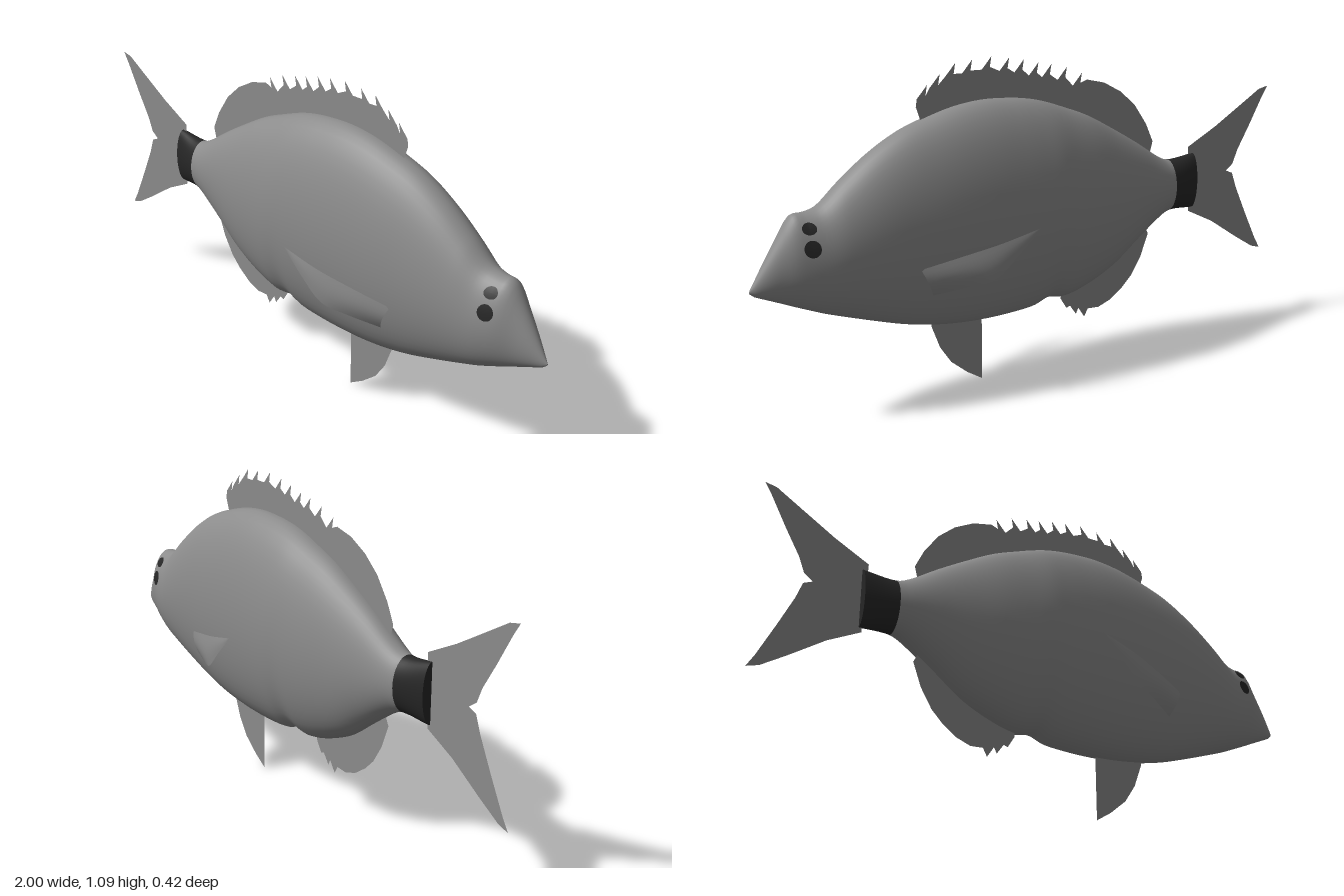
import * as THREE from 'three';

const mat = (name, color, side = THREE.FrontSide) => {
  const m = new THREE.MeshStandardMaterial({ color, side });
  m.name = name;
  return m;
};

// Body stations along the length: x, top y, bottom y, half width
const STATIONS = [
  [-0.66, 0.67, 0.47, 0.034], [-0.55, 0.66, 0.475, 0.057], [-0.5, 0.68, 0.455, 0.068],
  [-0.4, 0.745, 0.385, 0.088], [-0.3, 0.805, 0.312, 0.108], [-0.2, 0.86, 0.265, 0.126],
  [-0.1, 0.9, 0.238, 0.139], [-0.03, 0.925, 0.246, 0.145], [0.03, 0.94, 0.226, 0.147],
  [0.1, 0.95, 0.219, 0.147], [0.2, 0.955, 0.217, 0.145], [0.3, 0.945, 0.222, 0.141],
  [0.4, 0.92, 0.235, 0.135], [0.5, 0.885, 0.257, 0.126], [0.6, 0.828, 0.288, 0.116],
  [0.7, 0.752, 0.322, 0.103], [0.77, 0.692, 0.347, 0.091], [0.82, 0.678, 0.368, 0.08],
  [0.86, 0.674, 0.385, 0.068], [0.9, 0.618, 0.403, 0.05], [0.95, 0.54, 0.425, 0.029],
  [0.99, 0.475, 0.443, 0.009], [1, 0.46, 0.453, 0.002],
];

// Smoothly interpolated station at any x
function section(x) {
  const last = STATIONS.length - 1;
  let i = 0;
  while (i < last - 1 && x > STATIONS[i + 1][0]) i++;
  const at = (k) => STATIONS[Math.min(last, Math.max(0, k))];
  const [p, a, b, n] = [at(i - 1), at(i), at(i + 1), at(i + 2)];
  const d = b[0] - a[0], s = (x - a[0]) / d, s2 = s * s, s3 = s2 * s;
  const v = [1, 2, 3].map((k) => {
    const m0 = (b[k] - p[k]) / (b[0] - p[0]) * d;
    const m1 = (n[k] - a[k]) / (n[0] - a[0]) * d;
    return (2 * s3 - 3 * s2 + 1) * a[k] + (s3 - 2 * s2 + s) * m0 + (3 * s2 - 2 * s3) * b[k] + (s3 - s2) * m1;
  });
  return { mid: (v[0] + v[1]) / 2, h: (v[0] - v[1]) / 2, w: v[2] };
}

// Half thickness of the body at a side position
function skinZ(x, y) {
  const { mid, h, w } = section(x);
  return w * Math.sqrt(Math.max(0, 1 - ((y - mid) / h) ** 2));
}

// Elliptical loft from x0 to x1, with end caps
function loft(x0, x1, steps, material) {
  const N = 48, pos = [], index = [];
  const ring = (x, scale) => {
    const { mid, h, w } = section(x);
    for (let j = 0; j < N; j++) {
      const a = (j / N) * Math.PI * 2;
      pos.push(x, mid + h * scale * Math.cos(a), w * scale * Math.sin(a));
    }
  };
  const rings = [];
  for (let i = 0; i <= steps; i++) rings.push([x0 + (x1 - x0) * i / steps, 1]);
  rings.forEach(([x, s]) => ring(x, s));
  const quads = (r) => {
    for (let j = 0; j < N; j++) {
      const a = r * N + j, b = r * N + (j + 1) % N;
      index.push(a, b, a + N, b, b + N, a + N);
    }
  };
  for (let r = 0; r < steps; r++) quads(r);
  // Caps use their own rings so the rim stays sharp
  let r = steps + 1;
  ring(x0, 0); ring(x0, 1);
  quads(r);
  r += 2;
  ring(x1, 1); ring(x1, 0);
  quads(r);
  const g = new THREE.BufferGeometry();
  g.setAttribute('position', new THREE.Float32BufferAttribute(pos, 3));
  g.setIndex(index);
  g.computeVertexNormals();
  return new THREE.Mesh(g, material);
}

export function createModel() {
  const group = new THREE.Group();
  const skin = mat('greySkin', 0x8c8c8c);
  const finMat = mat('greyFin', 0x8c8c8c, THREE.DoubleSide);
  const dark = mat('blackMarking', 0x262626, THREE.DoubleSide);
  const add = (name, mesh) => {
    mesh.name = name;
    group.add(mesh);
  };

  add('body', loft(-0.55, 1, 110, skin));
  add('tailBand', loft(-0.66, -0.55, 6, dark));

  // Flat fins on the centre plane
  const flatFin = (name, points) => {
    const shape = new THREE.Shape(points.map(([x, y]) => new THREE.Vector2(x, y)));
    add(name, new THREE.Mesh(new THREE.ShapeGeometry(shape), finMat));
  };

  flatFin('tailFin', [
    [-0.64, 0.695], [-0.76, 0.755], [-0.88, 0.825], [-0.96, 0.872], [-1, 0.88], [-0.975, 0.84],
    [-0.92, 0.74], [-0.87, 0.655], [-0.85, 0.605], [-0.82, 0.583], [-0.85, 0.57], [-0.87, 0.515],
    [-0.92, 0.41], [-0.975, 0.3], [-1, 0.258], [-0.96, 0.27], [-0.88, 0.32], [-0.76, 0.4], [-0.65, 0.455],
  ]);

  // Dorsal fin: smooth rear lobe, then backswept spines
  const dorsal = [[-0.46, 0.66], [-0.48, 0.735], [-0.45, 0.8], [-0.4, 0.872], [-0.34, 0.925], [-0.27, 0.963], [-0.2, 0.98]];
  const spines = [[-0.18, 1.005], [-0.12, 1.03], [-0.06, 1.045], [-0.01, 1.055], [0.045, 1.07], [0.1, 1.08],
    [0.165, 1.09], [0.235, 1.085], [0.295, 1.08], [0.35, 1.05], [0.395, 1.02]];
  for (const [x, y] of spines) dorsal.push([x + 0.006, y - 0.034], [x, y], [x + 0.022, y - 0.025], [x + 0.036, y - 0.04]);
  dorsal.push([0.435, 0.955], [0.41, 0.88]);
  flatFin('dorsalFin', dorsal);

  flatFin('analFin', [
    [-0.44, 0.46], [-0.47, 0.4], [-0.44, 0.32], [-0.4, 0.255], [-0.36, 0.215], [-0.31, 0.18], [-0.26, 0.162],
    [-0.215, 0.165], [-0.2, 0.138], [-0.175, 0.175], [-0.165, 0.155], [-0.14, 0.19], [-0.125, 0.185],
    [-0.1, 0.225], [-0.1, 0.28],
  ]);

  flatFin('pelvicFin', [
    [0.212, 0.26], [0.214, 0], [0.27, 0.035], [0.33, 0.085], [0.37, 0.145], [0.4, 0.225], [0.4, 0.27],
  ]);

  // Pectoral fin: curved sheet between an upper and a lower edge
  const vec = (p) => new THREE.Vector3(...p);
  const upper = new THREE.CatmullRomCurve3([[0.11, 0.567, 0.208], [0.24, 0.534, 0.192], [0.37, 0.502, 0.158], [0.49, 0.47, 0.118]].map(vec));
  const lower = new THREE.CatmullRomCurve3([[0.11, 0.565, 0.207], [0.19, 0.488, 0.204], [0.265, 0.42, 0.191], [0.35, 0.398, 0.157], [0.445, 0.375, 0.108]].map(vec));
  const pectoral = new THREE.PlaneGeometry(1, 1, 16, 6);
  const pp = pectoral.attributes.position;
  for (let i = 0; i < pp.count; i++) {
    const u = pp.getX(i) + 0.5, v = pp.getY(i) + 0.5;
    const p = lower.getPoint(u).lerp(upper.getPoint(u), v);
    pp.setXYZ(i, p.x, p.y, p.z + 0.012 * Math.sin(Math.PI * v) * u);
  }
  pectoral.computeVertexNormals();

  // Eye patch wrapped onto the skin
  const eyePatch = (x, y, rx, ry) => {
    const g = new THREE.RingGeometry(0, 1, 24, 4);
    const p = g.attributes.position;
    for (let i = 0; i < p.count; i++) {
      const px = x + p.getX(i) * rx, py = y + p.getY(i) * ry;
      p.setXYZ(i, px, py, skinZ(px, py) + 0.003);
    }
    g.computeVertexNormals();
    return g;
  };
  const eye = eyePatch(0.822, 0.582, 0.025, 0.026);
  const brow = eyePatch(0.822, 0.64, 0.022, 0.017);

  // Paired parts, mirrored across the centre plane
  for (const [label, s] of [['near', 1], ['far', -1]]) {
    for (const [part, g, m] of [['PectoralFin', pectoral, finMat], ['Eye', eye, dark], ['EyeTop', brow, dark]]) {
      const mesh = new THREE.Mesh(g, m);
      mesh.scale.z = s;
      add(label + part, mesh);
    }
  }
  return group;
}
